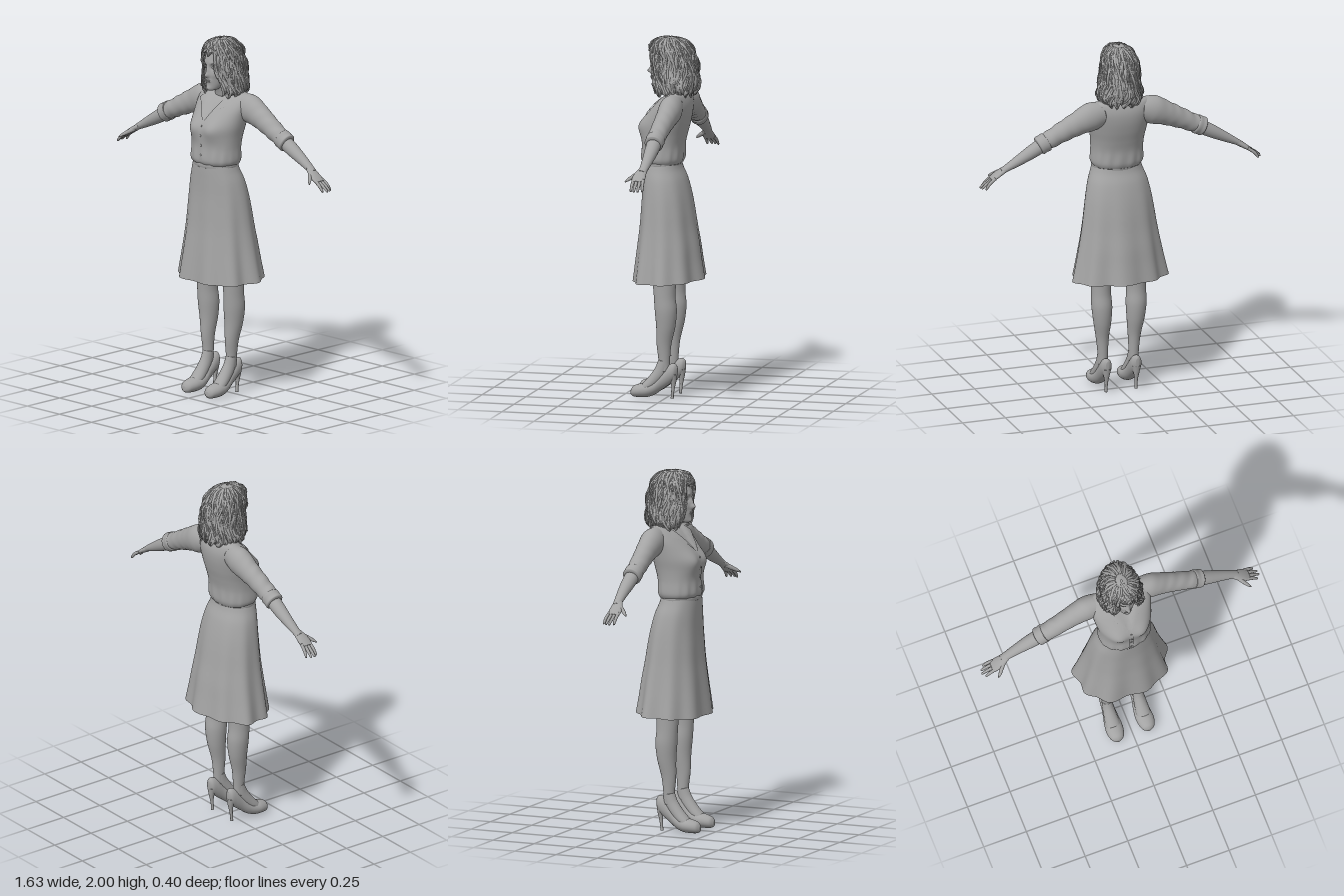
import * as THREE from 'three';

const Z = new THREE.Vector3(0, 0, 1), Y = new THREE.Vector3(0, 1, 0);
const grey = new THREE.MeshStandardMaterial({ color: 0xa3a3a3, side: THREE.DoubleSide });
grey.name = 'plain grey';

// Catmull-Rom interpolation of equally spaced rows of numbers
function sample(rows, t) {
  const n = rows.length - 1, f = Math.min(Math.max(t, 0), 1) * n;
  const i = Math.min(Math.floor(f), n - 1), u = f - i;
  const row = k => rows[Math.min(Math.max(k, 0), n)];
  return rows[0].map((_, c) => {
    const [a, b, d, e] = [row(i - 1)[c], row(i)[c], row(i + 1)[c], row(i + 2)[c]];
    return b + 0.5 * u * (d - a + u * (2 * a - 5 * b + 4 * d - e + u * (3 * (b - d) + e - a)));
  });
}

// Grid surface, optionally closed around u and capped at both ends of v
function surface(fn, nu, nv, closed = true, caps = false) {
  const pos = [], index = [], cols = closed ? nu : nu + 1;
  for (let j = 0; j <= nv; j++)
    for (let i = 0; i < cols; i++) pos.push(...fn(i / nu, j / nv).toArray());
  for (let j = 0; j < nv; j++)
    for (let i = 0; i < nu; i++) {
      const k = (i + 1) % cols, a = j * cols + i, b = j * cols + k;
      index.push(a, a + cols, b, b, a + cols, b + cols);
    }
  if (caps) [0, nv].forEach(j => {
    const c = new THREE.Vector3();
    for (let i = 0; i < cols; i++) c.add(fn(i / nu, j / nv));
    pos.push(...c.divideScalar(cols).toArray());
    const m = pos.length / 3 - 1;
    for (let i = 0; i < nu; i++) {
      const a = j * cols + i, b = j * cols + (i + 1) % cols;
      index.push(...(j ? [a, m, b] : [b, m, a]));
    }
  });
  const g = new THREE.BufferGeometry();
  g.setAttribute('position', new THREE.Float32BufferAttribute(pos, 3));
  g.setIndex(index);
  g.computeVertexNormals();
  return g;
}

// Body of elliptical rings; rows are [x, y, z, radius across, radius along ref]
function limb(rows, { ref = Z, axis = null, nu = 24, nv = rows.length * 6, caps = true, power = 1, warp } = {}) {
  const at = t => new THREE.Vector3(...sample(rows, t));
  const bend = v => Math.sign(v) * Math.abs(v) ** power;
  return surface((u, t) => {
    const [x, y, z, ra, rb] = sample(rows, t), a = u * Math.PI * 2;
    const T = axis || at(t + 0.01).sub(at(t - 0.01)).normalize();
    const A = T.clone().cross(ref).normalize(), B = A.clone().cross(T);
    const p = new THREE.Vector3(x, y, z)
      .addScaledVector(A, Math.max(ra, 5e-4) * bend(Math.cos(a)))
      .addScaledVector(B, Math.max(rb, 5e-4) * bend(Math.sin(a)));
    if (warp) warp(p, a, t);
    return p;
  }, nu, nv, true, caps);
}

const bump = (dx, dy, r) => Math.exp(-(dx * dx + dy * dy) / (r * r));

export function createModel() {
  const model = new THREE.Group();
  model.name = 'standing woman';
  const add = (name, geometry) => {
    const m = new THREE.Mesh(geometry, grey);
    m.name = name;
    model.add(m);
    return m;
  };
  const ball = (name, x, y, z, sx, sy, sz) => {
    const m = add(name, new THREE.SphereGeometry(1, 16, 12));
    m.position.set(x, y, z);
    m.scale.set(sx, sy, sz);
  };

  // Blouse body with bust, open neckline and soft folds over the waist
  const torso = limb([
    [0, 1.30, .036, .134, .104], [0, 1.33, .038, .148, .116], [0, 1.40, .034, .146, .115],
    [0, 1.46, .026, .150, .120], [0, 1.52, .014, .160, .124], [0, 1.58, -.006, .168, .115],
    [0, 1.63, -.026, .175, .096], [0, 1.67, -.042, .172, .070], [0, 1.693, -.052, .155, .045],
    [0, 1.704, -.052, .10, .025]
  ], { axis: Y, nu: 72, nv: 80, power: .9, warp: (p, a) => {
    const front = Math.max(Math.sin(a), 0);
    p.z += front * .03 * (bump(p.x - .075, p.y - 1.505, .06) + bump(p.x + .075, p.y - 1.505, .06));
    const v = (p.y - 1.55) * .55 - Math.abs(p.x);
    if (front && v > 0) p.z -= Math.min(v * .6, .012);
    p.z += .003 * Math.sin(a * 14) * bump(0, p.y - 1.34, .05);
  } });
  add('blouse', torso);

  // Depth of the blouse front, used to drape the trim over it
  const P = torso.attributes.position, N = torso.attributes.normal;
  const frontZ = (x, y) => {
    let sum = 0, w = 1e-9;
    for (let i = 0; i < P.count; i++) if (N.getZ(i) > .15) {
      const k = bump(P.getX(i) - x, P.getY(i) - y, .012);
      sum += k * P.getZ(i);
      w += k;
    }
    return sum / w;
  };
  const drape = (name, [a, b, c, d], lift) => add(name, surface((u, v) => {
    const x = (a[0] * (1 - u) + b[0] * u) * (1 - v) + (d[0] * (1 - u) + c[0] * u) * v;
    const y = (a[1] * (1 - u) + b[1] * u) * (1 - v) + (d[1] * (1 - u) + c[1] * u) * v;
    return new THREE.Vector3(x, y, frontZ(x, y) + lift);
  }, 8, 14, false));
  drape('button placket', [[.013, 1.325], [-.013, 1.325], [-.013, 1.555], [.013, 1.555]], .004);
  for (let i = 0; i < 4; i++) {
    const y = 1.36 + i * .055;
    ball('button', 0, y, frontZ(0, y) + .005, .006, .006, .003);
  }

  // Skirt: flared with folds that deepen toward the hem
  add('skirt', limb([
    [0, .645, 0, .262, .19], [0, .74, .002, .244, .178], [0, .84, .003, .226, .166],
    [0, .94, .006, .210, .152], [0, 1.04, .010, .197, .141], [0, 1.13, .016, .184, .130],
    [0, 1.21, .026, .167, .119], [0, 1.27, .038, .146, .107], [0, 1.31, .042, .134, .102]
  ], { axis: Y, nu: 120, nv: 50, caps: false, power: .93, warp: (p, a, t) => {
    const k = (1 - t) ** 1.6;
    const f = 1 + k * (.045 * Math.cos(9 * a + .6) + .025 * Math.cos(5 * a + 1.7));
    p.x *= f;
    p.z *= f;
    p.y += k * (.008 - .009 * Math.sin(a));
  } }));
  add('waistband', limb([[0, 1.288, .041, .137, .105], [0, 1.297, .041, .140, .107],
    [0, 1.308, .041, .140, .107], [0, 1.316, .041, .136, .104]], { axis: Y, nu: 60 }));

  // Neck and head with modelled brow, sockets, nose, cheeks and mouth
  add('neck', limb([[0, 1.65, -.04, .075, .05], [0, 1.69, -.03, .055, .05],
    [0, 1.73, -.012, .045, .046], [0, 1.79, 0, .045, .05]], { axis: Y }));
  add('head', limb([
    [0, 1.713, .068, .010, .015], [0, 1.722, .058, .030, .038], [0, 1.75, .04, .046, .060],
    [0, 1.79, .022, .057, .080], [0, 1.84, .010, .065, .092], [0, 1.89, .004, .067, .098],
    [0, 1.94, -.002, .062, .088], [0, 1.975, -.004, .035, .05]
  ], { axis: Y, nu: 96, nv: 90, warp: (p, a) => {
    if (Math.sin(a) < .3) return;
    const x = Math.abs(p.x), y = p.y;
    p.z += .022 * bump(x, (y - 1.803) * .9, .012) + .011 * bump(x, (y - 1.828) * .5, .011)
      - .011 * bump(x - .027, y - 1.848, .015) + .005 * bump(x - .028, y - 1.872, .014)
      + .005 * bump(x - .04, y - 1.805, .018) + .005 * bump(x * .5, y - 1.772, .010)
      + .006 * bump(x, y - 1.725, .015);
  } }));
  for (const s of [1, -1]) {
    ball('eye', s * .026, 1.846, .083, .012, .007, .009);
    add('eyebrow', limb([[s * .012, 1.866, .099, .001, .002], [s * .026, 1.871, .097, .003, .003],
      [s * .044, 1.866, .082, .001, .002]], { ref: Y, nu: 8 }));
  }
  ball('upper lip', 0, 1.774, .103, .020, .004, .006);
  ball('lower lip', 0, 1.766, .102, .016, .005, .006);

  // Hair: a grooved wavy cap, cut short over the face, with loose locks on top
  const hairRows = [[2.0, .006, .006, 0], [1.985, .052, .075, -.003], [1.95, .084, .113, -.008],
    [1.90, .098, .126, -.02], [1.84, .104, .130, -.027], [1.78, .113, .134, -.03],
    [1.72, .122, .130, -.03], [1.685, .108, .112, -.028]];
  const hairAt = (a, t, lift = 0) => {
    const off = Math.abs(Math.atan2(Math.cos(a), Math.sin(a)));
    const k = .36 + .64 * THREE.MathUtils.smoothstep(off, .42, .66);
    const [y, rx, rz, z] = sample(hairRows, t * k);
    const swirl = a + .12 * Math.sin(t * k * 11 + a * 2) * t;
    const g = (.004 * Math.sin(26 * a + 5 * Math.sin(t * 9)) + .005 * Math.sin(t * k * 20 + 5 * a)) * Math.min(t * 3, 1) + lift;
    const jag = .012 * Math.sin(17 * a) * t ** 6;
    return new THREE.Vector3((rx + g) * Math.cos(swirl) + .006 * t * k, y + jag, z + (rz + g) * Math.sin(swirl));
  };
  add('hair', surface((u, v) => hairAt(u * Math.PI * 2, 1 - v), 180, 50));
  const LOCKS = 84;
  for (let i = 0; i < LOCKS; i++) {
    const a0 = i / LOCKS * Math.PI * 2, r = .0045 + .0015 * Math.sin(i * 7.3), rows = [];
    for (let j = 0; j <= 12; j++) {
      const t = .08 + .92 * j / 12;
      const p = hairAt(a0 + .07 * Math.sin(t * 12 + i * 1.9) + .35 * (1 - t) ** 2, t, .002 + .003 * Math.sin(t * 15 + i * 2.4));
      rows.push([p.x, p.y, p.z, r * (j === 12 ? .2 : .8), r * (j === 12 ? .2 : 1.3)]);
    }
    add('hair lock', limb(rows, { ref: new THREE.Vector3(-Math.sin(a0), 0, Math.cos(a0)), nu: 6, nv: 28 }));
  }

  for (const s of [1, -1]) {
    const side = rows => rows.map(([x, ...rest]) => [s * x, ...rest]);

    // Collar flap and neckline edge
    drape('collar', [[s * .07, 1.695], [s * .125, 1.648], [s * .078, 1.628], [s * .006, 1.553]], .008);

    // Rolled-up sleeve, forearm and hand
    add('sleeve', limb(side([[.11, 1.632, -.05, .066, .055], [.18, 1.618, -.052, .080, .064],
      [.25, 1.590, -.050, .068, .058], [.32, 1.558, -.045, .059, .053], [.40, 1.518, -.040, .051, .050],
      [.46, 1.488, -.038, .047, .048]]), { nu: 36, nv: 50, warp: (p, a, t) => {
      p.y += .003 * t * Math.sin(t * 38 + 2 * Math.sin(a));
    } }));
    add('rolled cuff', limb(side([[.432, 1.502, -.039, .046, .046], [.438, 1.499, -.039, .054, .052],
      [.458, 1.489, -.038, .052, .051], [.476, 1.480, -.038, .053, .051], [.482, 1.477, -.038, .040, .042]]), { nu: 32 }));
    add('forearm', limb(side([[.44, 1.495, -.038, .041, .041], [.52, 1.450, -.038, .037, .038],
      [.60, 1.406, -.036, .028, .030], [.665, 1.370, -.032, .019, .024], [.69, 1.355, -.028, .016, .024]])));
    add('palm', limb(side([[.66, 1.372, -.031, .016, .023], [.695, 1.350, -.024, .016, .032],
      [.725, 1.330, -.021, .014, .037], [.752, 1.311, -.021, .010, .035]])));
    for (let f = 0; f < 4; f++) {
      const z = .004 - f * .0175, reach = [.80, .815, .811, .795][f];
      add('finger', limb(side([[.735, 1.323, z, .009, .009], [.765, 1.303, z * 1.1, .009, .009],
        [(.765 + reach) / 2, 1.287, z * 1.15, .008, .008], [reach - .004, 1.271, z * 1.2, .006, .006],
        [reach, 1.268, z * 1.2, .002, .002]]), { nu: 10 }));
    }
    add('thumb', limb(side([[.682, 1.355, -.015, .013, .014], [.705, 1.338, .012, .011, .012],
      [.726, 1.322, .036, .009, .009], [.742, 1.310, .052, .003, .003]]), { ref: Y, nu: 12 }));

    // Leg and foot
    add('leg', limb(side([[.09, .15, .012, .027, .034], [.09, .21, .008, .028, .032], [.093, .30, .008, .035, .041],
      [.097, .40, -.003, .049, .053], [.100, .49, -.004, .057, .061], [.102, .57, .002, .054, .060],
      [.100, .66, .004, .057, .066], [.095, .80, .008, .068, .078], [.088, .95, .015, .075, .085]]), { axis: Y, nu: 32 }));
    add('foot', limb(side([[.09, .21, .01, .028, .03], [.09, .155, .025, .031, .036],
      [.09, .105, .06, .036, .034], [.09, .06, .105, .040, .030], [.09, .035, .15, .03, .02]]), { ref: Y.clone().add(Z).normalize() }));

    // High-heeled shoe
    add('shoe', limb(side([[.09, .026, .196, .012, .014], [.09, .032, .18, .035, .030], [.09, .038, .14, .048, .038],
      [.088, .043, .10, .048, .040], [.087, .060, .06, .042, .042], [.087, .097, .02, .035, .050],
      [.087, .132, -.02, .033, .055], [.087, .150, -.05, .028, .045], [.087, .156, -.066, .010, .025]]),
      { ref: Y, axis: new THREE.Vector3(0, 0, -1), nu: 32, warp: p => { p.y = Math.max(p.y, 0); } }));
    add('shoe heel', limb(side([[.087, .135, -.042, .028, .024], [.087, .10, -.044, .018, .017],
      [.087, .06, -.042, .010, .010], [.087, .02, -.038, .008, .008], [.087, 0, -.037, .009, .009]]), { nu: 16 }));
  }
  return model;
}
